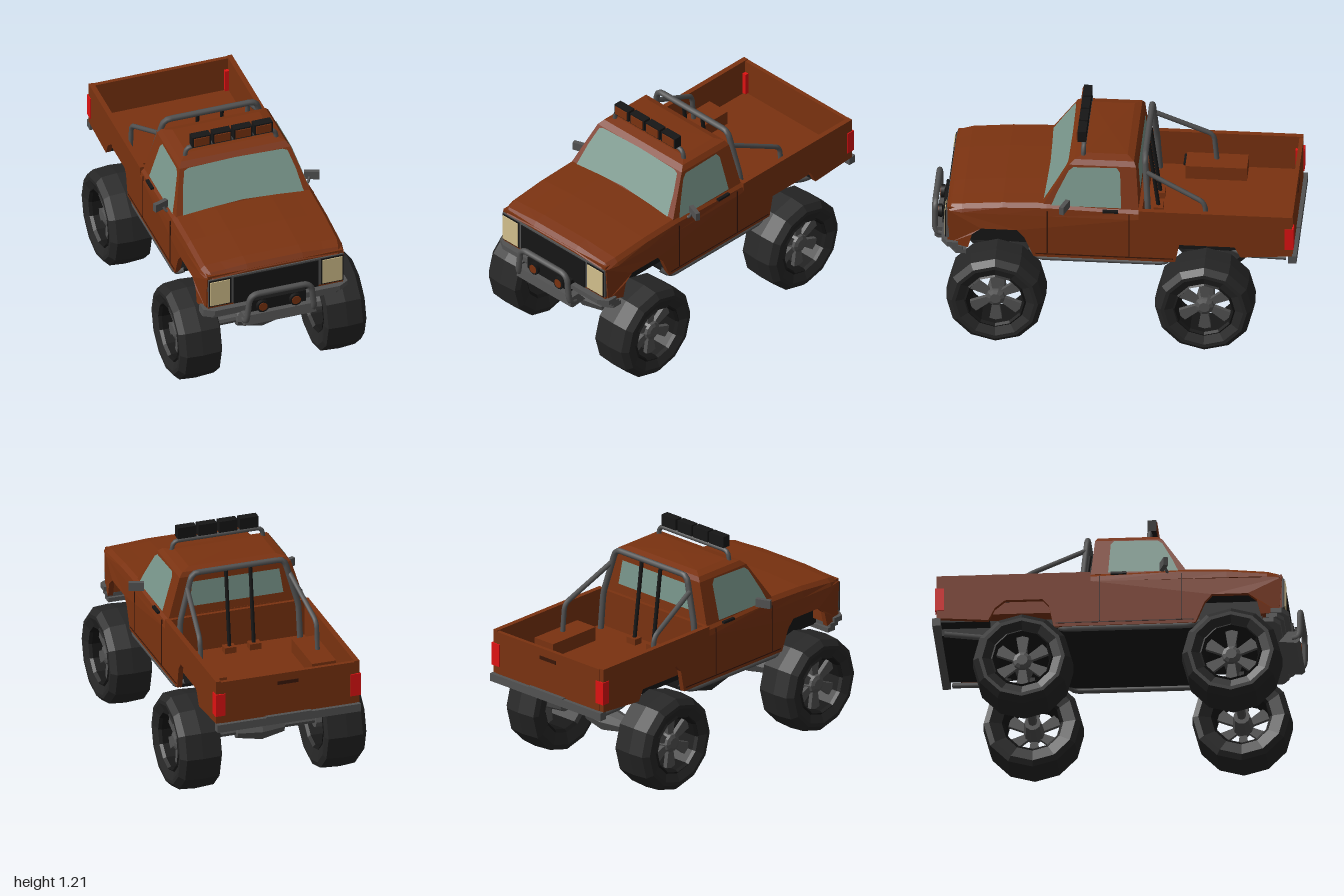
import * as THREE from 'three';

const mat = (name, color, side = THREE.FrontSide) => {
  const m = new THREE.MeshStandardMaterial({ color, side });
  m.name = name;
  return m;
};
const V = (a) => new THREE.Vector3(...a);

export function createModel() {
  const paint = mat('brownPaint', 0x7a3210, THREE.DoubleSide);
  const glass = mat('glass', 0x78958a, THREE.DoubleSide);
  const tyreMat = mat('tyreRubber', 0x262626);
  const black = mat('blackTrim', 0x161616);
  const metal = mat('greyMetal', 0x525252);
  const cream = mat('headlightCream', 0xd2bf8c);
  const red = mat('tailRed', 0xe01212);
  const seamMat = mat('seamBrown', 0x3a1707);

  const truck = new THREE.Group();
  truck.name = 'pickupTruck';

  // ---- helpers ----
  const add = (name, geo, material, parent = truck) => {
    const m = new THREE.Mesh(geo, material);
    m.name = name;
    parent.add(m);
    return m;
  };
  const flat = (geo) => {
    const g = geo.index ? geo.toNonIndexed() : geo;
    g.computeVertexNormals();
    return g;
  };
  // box given by its min and max on each axis
  const box = (name, [x0, x1], [y0, y1], [z0, z1], material, parent) =>
    add(name, new THREE.BoxGeometry(x1 - x0, y1 - y0, z1 - z0)
      .translate((x0 + x1) / 2, (y0 + y1) / 2, (z0 + z1) / 2), material, parent);
  // same box on both sides
  const boxPair = (name, [x0, x1], ys, zs, material) => {
    box(name + 'Left', [x0, x1], ys, zs, material);
    box(name + 'Right', [-x1, -x0], ys, zs, material);
  };
  const poly = (pts) => new THREE.Shape(pts.map(([a, b]) => new THREE.Vector2(a, b)));
  // side outline of [z, y] points, extruded across x
  const extrudeX = (pts, x0, x1) =>
    new THREE.ExtrudeGeometry(poly(pts), { depth: x1 - x0, bevelEnabled: false })
      .rotateY(-Math.PI / 2).translate(x1, 0, 0);
  // bent round bar through points with rounded corners
  const bar = (name, pts, r, material = metal, parent = truck, bend = 0.035) => {
    const p = pts.map(V), path = new THREE.CurvePath();
    let from = p[0];
    for (let i = 1; i < p.length - 1; i++) {
      const a = p[i].clone().lerp(p[i - 1], Math.min(0.45, bend / p[i].distanceTo(p[i - 1])));
      const b = p[i].clone().lerp(p[i + 1], Math.min(0.45, bend / p[i].distanceTo(p[i + 1])));
      path.add(new THREE.LineCurve3(from, a));
      path.add(new THREE.QuadraticBezierCurve3(a, p[i], b));
      from = b;
    }
    path.add(new THREE.LineCurve3(from, p[p.length - 1]));
    return add(name, new THREE.TubeGeometry(path, 12 * (p.length - 1), r, 8), material, parent);
  };
  // skin between equal-length rows of points
  const loft = (rows, closed = false) => {
    const n = rows[0].length, idx = [];
    for (let i = 0; i < rows.length - 1; i++)
      for (let j = 0; j < (closed ? n : n - 1); j++) {
        const a = i * n + j, b = i * n + (j + 1) % n;
        idx.push(a, b, a + n, b, b + n, a + n);
      }
    const g = new THREE.BufferGeometry();
    g.setAttribute('position', new THREE.Float32BufferAttribute(rows.flat(2), 3));
    g.setIndex(idx);
    return flat(g);
  };
  // thin flat pane: [u, v] outline placed by a mapping rule
  const pane = (name, pts, map, material = glass) => {
    const g = new THREE.ShapeGeometry(poly(pts)), pos = g.attributes.position;
    for (let i = 0; i < pos.count; i++) pos.setXYZ(i, ...map(pos.getX(i), pos.getY(i)));
    add(name, flat(g), material);
  };

  // ---- body sides with wheel arches ----
  const sideOutline = [[0.885, 0.56], [0.9, 0.77], [-0.14, 0.77], [-0.14, 0.825], [-0.975, 0.825],
    [-0.975, 0.575], [-0.695, 0.555], [-0.66, 0.625], [-0.604, 0.67], [-0.4, 0.67], [-0.365, 0.63],
    [-0.34, 0.505], [0.43, 0.505], [0.48, 0.625], [0.52, 0.67], [0.716, 0.67], [0.765, 0.63], [0.786, 0.545]];
  for (const s of [1, -1]) {
    const g = s > 0 ? extrudeX(sideOutline, 0.383, 0.412) : extrudeX(sideOutline, -0.412, -0.383);
    const p = g.attributes.position;
    for (let i = 0; i < p.count; i++) if (p.getZ(i) > 0.85) p.setX(i, p.getX(i) * 0.955);
    add(s > 0 ? 'bodySideLeft' : 'bodySideRight', flat(g), paint);
  }

  // ---- hood and shoulder line ----
  const hoodRows = [[-0.14, 0.412, 0.825], [0.36, 0.412, 0.84], [0.6, 0.412, 0.832],
    [0.82, 0.41, 0.812], [0.88, 0.398, 0.8], [0.905, 0.388, 0.77]].map(([z, w, h]) => {
    const half = [[w, 0.768], [w - 0.008, h - 0.025], [w - 0.03, h - 0.004], [w - 0.12, h], [0.16, h + 0.008]];
    return [...half, ...half.map(([x, y]) => [-x, y]).reverse()].map(([x, y]) => [x, y, z]);
  });
  add('hood', loft(hoodRows), paint);
  box('nosePanel', [-0.388, 0.388], [0.56, 0.785], [0.79, 0.9], paint);

  // ---- cab ----
  const ring = (y, x, zf, zb) => [[x, y, zf], [x, y, zb], [-x, y, zb], [-x, y, zf]];
  add('cab', loft([ring(0.82, 0.39, 0.385, -0.14), ring(1.05, 0.32, 0.244, -0.121),
    ring(1.075, 0.3, 0.215, -0.108), ring(1.087, 0.25, 0.16, -0.07), ring(1.09, 0, 0.05, 0.05)], true), paint);
  const cabX = (y) => 0.39 - 0.304 * (y - 0.82) + 0.005;
  const frontZ = (y) => 0.385 - 0.613 * (y - 0.82) + 0.006;
  pane('windshield', [[-0.347, 0.838], [-0.2, 0.848], [0, 0.857], [0.2, 0.848], [0.347, 0.838],
    [0.325, 0.95], [0.297, 1.04], [0.27, 1.05], [0, 1.056], [-0.27, 1.05], [-0.297, 1.04], [-0.325, 0.95]],
  (x, y) => [x, y, frontZ(y)]);
  pane('rearWindow', [[-0.27, 0.88], [0.27, 0.88], [0.25, 1.02], [-0.25, 1.02]],
    (x, y) => [x, y, -0.145 + 0.083 * (y - 0.82)]);
  for (const [s, side] of [[1, 'Left'], [-1, 'Right']]) {
    pane('sideWindow' + side, [[0.335, 0.828], [0.305, 0.9], [0.245, 1.02], [0.22, 1.04], [-0.015, 1.045],
      [-0.035, 1.02], [-0.045, 0.828]], (z, y) => [s * cabX(y), y, z]);
    // mirror
    const mirror = new THREE.Group();
    mirror.name = 'mirror' + side;
    add('mirrorHead', new THREE.BoxGeometry(0.085, 0.047, 0.025).rotateY(s * -0.35)
      .translate(s * 0.435, 0.847, 0.26), metal, mirror);
    bar('mirrorStem', [[s * 0.395, 0.81, 0.28], [s * 0.41, 0.815, 0.275], [s * 0.42, 0.84, 0.265]], 0.008, metal, mirror);
    truck.add(mirror);
  }
  // door seams and handles
  for (const [z, top] of [[0.355, 0.8], [-0.09, 0.8]])
    boxPair('doorSeam', [0.409, 0.4145], [0.53, top], [z - 0.003, z + 0.003], seamMat);
  boxPair('sillSeam', [0.409, 0.4145], [0.522, 0.528], [-0.33, 0.42], seamMat);
  boxPair('doorHandle', [0.4, 0.418], [0.808, 0.82], [-0.03, 0.055], black);

  // ---- cargo bed ----
  box('bedFloor', [-0.385, 0.385], [0.6, 0.615], [-0.96, -0.13], paint);
  box('bedFrontWall', [-0.385, 0.385], [0.6, 0.825], [-0.16, -0.13], paint);
  box('tailgate', [-0.385, 0.385], [0.575, 0.82], [-0.978, -0.955], paint);
  box('tailgateHandle', [-0.06, 0.06], [0.755, 0.775], [-0.982, -0.977], seamMat);
  boxPair('bedWheelWell', [0.245, 0.385], [0.61, 0.695], [-0.68, -0.345], paint);
  boxPair('barFoot', [0.04, 0.105], [0.61, 0.65], [-0.25, -0.2], paint);
  boxPair('tailLight', [0.36, 0.417], [0.62, 0.75], [-0.984, -0.935], red);

  // ---- underbody ----
  box('chassis', [-0.3, 0.3], [0.52, 0.6], [-0.955, 0.86], black);
  box('engineBay', [-0.3, 0.3], [0.6, 0.765], [-0.13, 0.86], black);
  box('cabFloor', [-0.395, 0.395], [0.503, 0.52], [-0.34, 0.43], black);
  box('rearFloor', [-0.385, 0.385], [0.56, 0.58], [-0.96, -0.69], black);
  for (const z of [0.618, -0.502]) boxPair('archLiner', [0.29, 0.39], [0.67, 0.685], [z - 0.17, z + 0.17], black);

  // ---- front face ----
  box('grilleFrame', [-0.388, 0.388], [0.59, 0.765], [0.89, 0.908], metal);
  box('grille', [-0.243, 0.243], [0.585, 0.755], [0.9, 0.914], black);
  boxPair('headlightBezel', [0.258, 0.386], [0.592, 0.76], [0.9, 0.912], black);
  boxPair('headlight', [0.266, 0.38], [0.6, 0.752], [0.908, 0.917], cream);

  // ---- bumpers and bull bar ----
  const bumper = [[0.415, 0.84], [0.415, 0.9], [0.36, 0.935], [-0.36, 0.935], [-0.415, 0.9], [-0.415, 0.84]];
  for (const [y, h, k] of [[0.547, 0.028, 1], [0.525, 0.022, 0.97], [0.5, 0.025, 0.95]])
    add('frontBumper', new THREE.ExtrudeGeometry(poly(bumper.map(([x, z]) => [x * (0.5 + k / 2), -z * k])),
      { depth: h, bevelEnabled: false }).rotateX(-Math.PI / 2).translate(0, y, 0), metal);
  add('skidPlate', extrudeX([[0.87, 0.47], [0.965, 0.46], [0.985, 0.475], [0.975, 0.53], [0.92, 0.53]], -0.205, 0.205), metal);
  bar('bullBar', [[-0.195, 0.49, 0.94], [-0.195, 0.5, 0.983], [-0.175, 0.67, 0.983], [0.175, 0.67, 0.983],
    [0.195, 0.5, 0.983], [0.195, 0.49, 0.94]], 0.017, metal, truck, 0.05);
  box('winch', [-0.16, 0.16], [0.53, 0.6], [0.9, 0.945], black);
  for (const x of [-0.095, 0.095]) {
    const disc = (name, r, d, m) => add(name, new THREE.CylinderGeometry(r, r, d, 10)
      .rotateX(Math.PI / 2).translate(x, 0.567, 0.95 + d / 2), m);
    disc('fogLampHousing', 0.036, 0.02, black);
    disc('fogLampLens', 0.026, 0.023, paint);
  }
  box('rearBumper', [-0.412, 0.412], [0.53, 0.575], [-1, -0.955], metal);
  box('rearStep', [-0.13, 0.13], [0.545, 0.58], [-1, -0.97], metal);

  // ---- roof light rack ----
  bar('roofRack', [[-0.265, 1.06, 0.17], [-0.255, 1.13, 0.17], [0.255, 1.13, 0.17], [0.265, 1.06, 0.17]], 0.013);
  for (let i = 0; i < 4; i++) {
    const x = (i - 1.5) * 0.119;
    box('roofLight', [x - 0.053, x + 0.053], [1.142, 1.207], [0.158, 0.205], black);
    box('roofLightLens', [x - 0.044, x + 0.044], [1.149, 1.199], [0.203, 0.21], paint);
  }

  // ---- roll bar ----
  bar('rollHoop', [[-0.345, 0.61, -0.2], [-0.34, 0.82, -0.185], [-0.265, 1.09, -0.165], [0.265, 1.09, -0.165],
    [0.34, 0.82, -0.185], [0.345, 0.61, -0.2]], 0.017);
  for (const s of [1, -1]) {
    bar('rollBrace', [[s * 0.295, 1.005, -0.175], [s * 0.335, 0.85, -0.495], [s * 0.335, 0.69, -0.51]], 0.014);
    bar('rollUpright', [[s * 0.07, 1.09, -0.165], [s * 0.07, 0.63, -0.225]], 0.011, black);
  }

  // ---- side steps and exhausts ----
  for (const s of [1, -1]) {
    bar('sideStep', [[s * 0.36, 0.53, 0.45], [s * 0.4, 0.493, 0.41], [s * 0.4, 0.493, -0.29], [s * 0.36, 0.53, -0.33]], 0.015);
    bar('exhaust', [[s * 0.28, 0.53, -0.62], [s * 0.3, 0.5, -0.72], [s * 0.33, 0.515, -0.94]], 0.016);
  }

  // ---- axles and wheels ----
  const lathe = (pts, n) => flat(new THREE.LatheGeometry(pts.map(([r, y]) => new THREE.Vector2(r, y)), n).rotateZ(-Math.PI / 2));
  const tyreGeo = lathe([[0.165, -0.1], [0.235, -0.12], [0.266, -0.108], [0.273, 0], [0.266, 0.09],
    [0.235, 0.12], [0.215, 0.12], [0.168, 0.1], [0.165, -0.1]].map(([r, x]) => [r, x]), 12);
  const rimGeo = lathe([[0.152, -0.09], [0.167, -0.105], [0.17, 0.1], [0.16, 0.108], [0.152, 0.09], [0.152, -0.09]], 12);
  const hubGeo = lathe([[0, -0.1], [0.045, -0.1], [0.058, 0.03], [0.05, 0.07], [0.03, 0.08], [0, 0.08]], 10);
  const spokeGeo = new THREE.ExtrudeGeometry(poly([[-0.018, 0.04], [0.018, 0.04], [0.036, 0.158], [-0.036, 0.158]]),
    { depth: 0.025, bevelEnabled: false }).rotateY(Math.PI / 2).translate(0.03, 0, 0);
  for (const [z, end] of [[0.631, 'front'], [-0.505, 'rear']]) {
    add(end + 'Axle', lathe([[0, -0.4], [0.025, -0.4], [0.025, -0.14], [0.045, -0.135], [0.072, 0],
      [0.045, 0.135], [0.025, 0.14], [0.025, 0.4], [0, 0.4]], 8).translate(0, 0.278, z), metal);
    for (const s of [1, -1]) {
      box(end + 'Strut', [s * 0.28 - 0.014, s * 0.28 + 0.014], [0.26, 0.68], [z - 0.016, z + 0.016], black);
      const wheel = new THREE.Group();
      wheel.name = end + (s > 0 ? 'WheelLeft' : 'WheelRight');
      add('tyre', tyreGeo, tyreMat, wheel);
      add('rim', rimGeo, black, wheel);
      add('hub', hubGeo, metal, wheel);
      for (let i = 0; i < 6; i++) add('spoke', spokeGeo, metal, wheel).rotation.x = (i * Math.PI) / 3;
      wheel.position.set(s * 0.415, 0.273, z);
      if (s < 0) wheel.rotation.y = Math.PI;
      truck.add(wheel);
    }
  }
  return truck;
}
